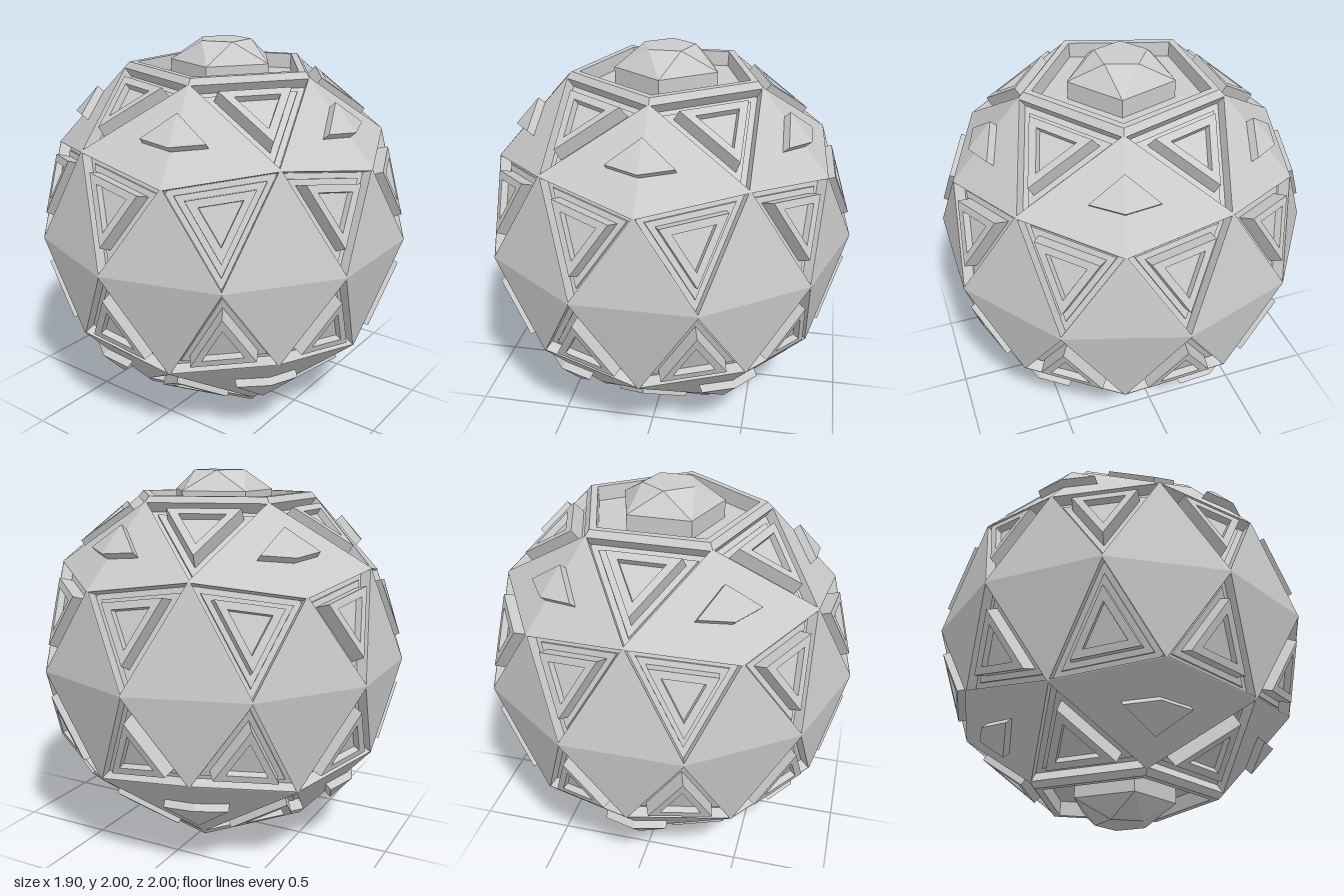
import * as THREE from 'three';
import { ConvexGeometry } from 'three/addons/geometries/ConvexGeometry.js';

const material = new THREE.MeshStandardMaterial({ color: 0xcccccc, flatShading: true });

// Point from ring radius, azimuth in degrees (0 = front, 90 = +x) and height
function polar(r, deg, y) {
  const a = THREE.MathUtils.degToRad(deg);
  return new THREE.Vector3(r * Math.sin(a), y, r * Math.cos(a));
}

function mix(a, b, t) {
  return a.clone().lerp(b, t);
}

// Stepped panel: corners run counter-clockwise seen from outside.
// The profile lists [scale about the centre, height along the normal].
function panel(corners, profile) {
  const n = corners.length;
  const centre = corners.reduce((s, p) => s.add(p), new THREE.Vector3()).divideScalar(n);
  const normal = corners[1].clone().sub(corners[0])
    .cross(corners[2].clone().sub(corners[0])).normalize();
  const rings = profile.map(([s, h]) =>
    corners.map((p) => mix(centre, p, s).addScaledVector(normal, h)));
  const points = [];
  for (let k = 0; k + 1 < rings.length; k++) {
    for (let i = 0; i < n; i++) {
      const j = (i + 1) % n;
      const a = rings[k], b = rings[k + 1];
      points.push(a[i], a[j], b[j], a[i], b[j], b[i]);
    }
  }
  const cap = rings[rings.length - 1];
  for (let i = 1; i + 1 < n; i++) points.push(cap[0], cap[i], cap[i + 1]);
  const geometry = new THREE.BufferGeometry().setFromPoints(points);
  geometry.computeVertexNormals();
  return geometry;
}

// Sunken floor with a raised triangular block that has a hollow centre
const recess = [[1, 0], [0.97, 0], [0.96, -0.06], [0.8, -0.06], [0.79, -0.05], [0.62, -0.05],
  [0.6, 0.025], [0.38, 0.025], [0.37, -0.01], [0.26, -0.01]];
const flat = [[1, 0]];
const rim = [[1, 0], [0.95, 0.028], [0.87, 0.028], [0.86, -0.05]];

// Corners of the facets
const T = (k = 0) => polar(0.526, 18 + 72 * k, 0.851);
const R1 = polar(0.851, -18, 0.526);
const R2 = polar(0.851, 54, 0.526);
const C = polar(0.894, 18, 0.447);
const E = (k) => polar(1, 36 * k, 0);

// Raised kite folded over the ridge between two facets
function kiteGeometry() {
  const mid = mix(T(), C, 0.52);
  const base = [mix(T(), C, 0.32), mix(mid, R1, 0.33), mix(T(), C, 0.65), mix(mid, R2, 0.33)];
  const out = mid.clone().normalize();
  return new ConvexGeometry([
    ...base.map((p) => p.clone().addScaledVector(out, -0.02)),
    ...base.map((p) => p.clone().addScaledVector(out, 0.042)),
  ]);
}

// Five-sided boss with a smaller, turned top
function bossGeometry() {
  const points = [];
  for (let k = 0; k < 5; k++) {
    const a = 18 + 72 * k;
    points.push(polar(0.28, a, 0.79), polar(0.28, a, 0.895), polar(0.14, a + 36, 1));
  }
  return new ConvexGeometry(points);
}

export function createModel() {
  const model = new THREE.Group();
  model.name = 'panelledSphere';

  const sectorParts = [
    ['equatorFacet', panel([C, E(0), E(1)], flat)],
    ['equatorTriangle', panel([E(-1), E(0), R1], flat)],
    ['ridgeFacetA', panel([T(), R1, C], flat)],
    ['ridgeFacetB', panel([T(), C, R2], flat)],
    ['sidePanelA', panel([R1, E(0), C], recess)],
    ['sidePanelB', panel([C, E(1), R2], recess)],
    ['polarPanel', panel([T(-1), R1, T()], recess)],
    ['kiteStud', kiteGeometry()],
  ];
  const poleParts = [
    ['poleRim', panel([0, 1, 2, 3, 4].map(T), rim)],
    ['poleBoss', bossGeometry()],
  ];

  const add = (parent, [name, geometry]) => {
    const mesh = new THREE.Mesh(geometry, material);
    mesh.name = name;
    parent.add(mesh);
  };

  // The lower half is the upper half turned over about the z axis
  for (const name of ['upperHalf', 'lowerHalf']) {
    const half = new THREE.Group();
    half.name = name;
    half.position.y = 1;
    if (name === 'lowerHalf') half.rotation.z = Math.PI;
    for (let k = 0; k < 5; k++) {
      const sector = new THREE.Group();
      sector.name = 'sector';
      sector.rotation.y = (k * 2 * Math.PI) / 5;
      sectorParts.forEach((part) => add(sector, part));
      half.add(sector);
    }
    poleParts.forEach((part) => add(half, part));
    model.add(half);
  }
  return model;
}
